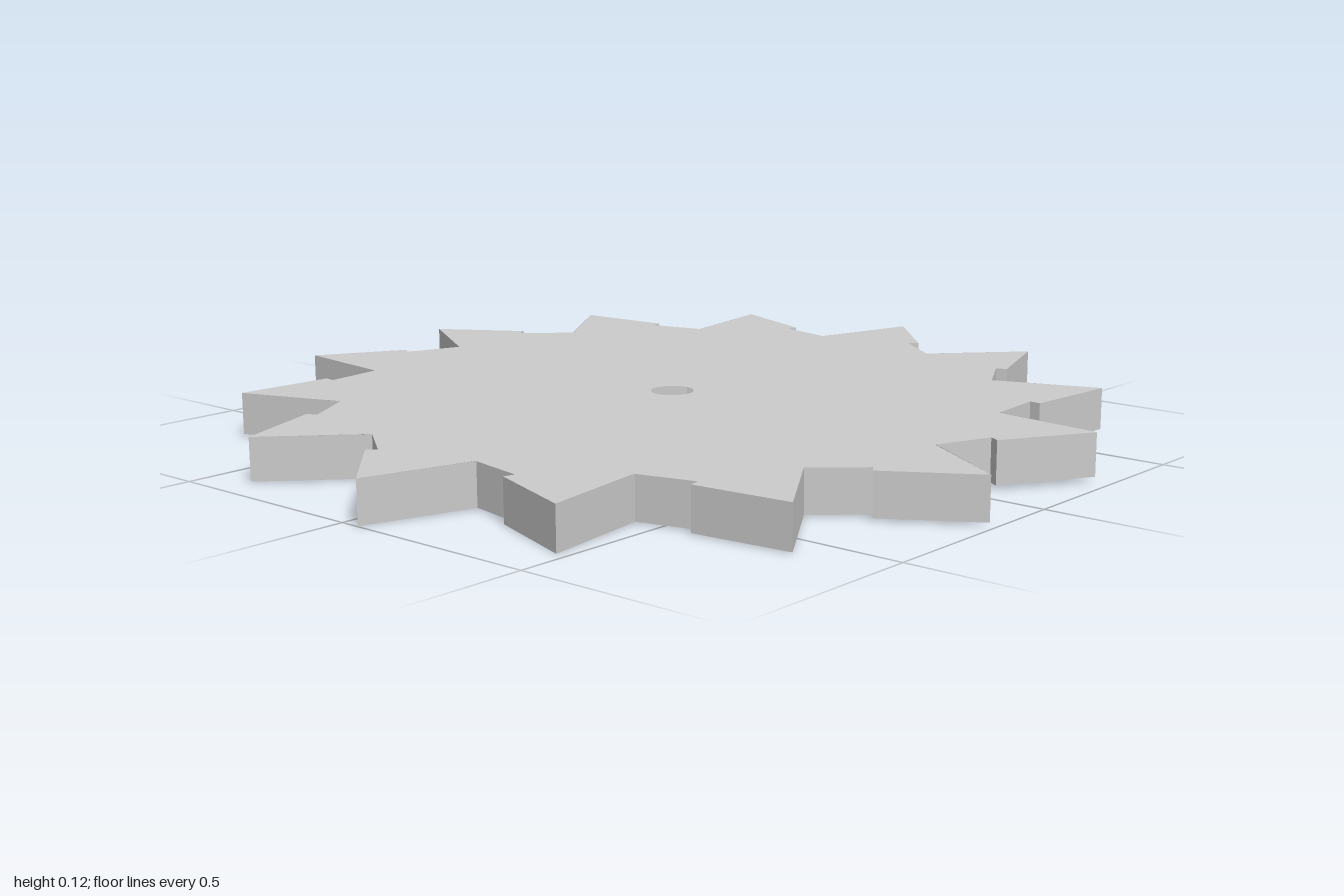
import * as THREE from 'three';

const TEETH = 14;
const STEP = (Math.PI * 2) / TEETH;
const START = THREE.MathUtils.degToRad(31.5);
const THICK = 0.098;
const BORE = 0.05;
const HUB = 0.34;

const material = new THREE.MeshStandardMaterial({ color: 0xcccccc, side: THREE.DoubleSide });

// Tooth in its own frame: tip, back corner, notch, gullet
const TOOTH = [[0.932, 0.362], [0.828, 0.155], [0.804, 0.166], [0.762, 0.033]];
// Full run of a tooth's side walls, reaching in to the hub
const RUN = [[0, 0.362], ...TOOTH, [0.64, -0.355], [0, -0.355]];

// Turn a profile to its place round the blade (plane coordinates are x, -z)
const turned = (points, angle) =>
  points.map(([u, v]) => new THREE.Vector2(u, v).rotateAround(new THREE.Vector2(), -angle));

// Upright strip following an open path
function wallGeometry(path) {
  const pos = [];
  for (let i = 0; i < path.length - 1; i++) {
    const a = path[i], b = path[i + 1];
    const a0 = [a.x, 0, -a.y], a1 = [a.x, THICK, -a.y];
    const b0 = [b.x, 0, -b.y], b1 = [b.x, THICK, -b.y];
    pos.push(...a0, ...a1, ...b1, ...a0, ...b1, ...b0);
  }
  const geometry = new THREE.BufferGeometry();
  geometry.setAttribute('position', new THREE.Float32BufferAttribute(pos, 3));
  geometry.computeVertexNormals();
  return geometry;
}

export function createModel() {
  const group = new THREE.Group();
  group.name = 'sawBlade';

  const add = (geometry, name) => {
    const mesh = new THREE.Mesh(geometry, material);
    mesh.name = name;
    group.add(mesh);
    return mesh;
  };

  // Tooth walls, open underneath
  const outline = [];
  for (let i = 0; i < TEETH; i++) {
    const angle = START + i * STEP;
    outline.push(...turned(TOOTH, angle));
    add(wallGeometry(turned(RUN, angle)), 'toothWall');
  }

  // Toothed top plate with the arbor hole
  const plate = new THREE.Shape(outline);
  plate.holes.push(new THREE.Path().absarc(0, 0, BORE, 0, Math.PI * 2, true));
  const top = new THREE.ShapeGeometry(plate, 24);
  top.rotateX(-Math.PI / 2);
  add(top, 'topPlate').position.y = THICK;

  // Round hub plate closing the middle of the underside
  const hub = new THREE.RingGeometry(BORE, HUB, 64);
  hub.rotateX(Math.PI / 2);
  add(hub, 'hubPlate');

  // The blade lies very slightly tilted
  group.rotation.set(0.011, 0, -0.003);
  group.position.y = 0.0113;

  const model = new THREE.Group();
  model.name = 'circularSawBlade';
  model.add(group);
  return model;
}
